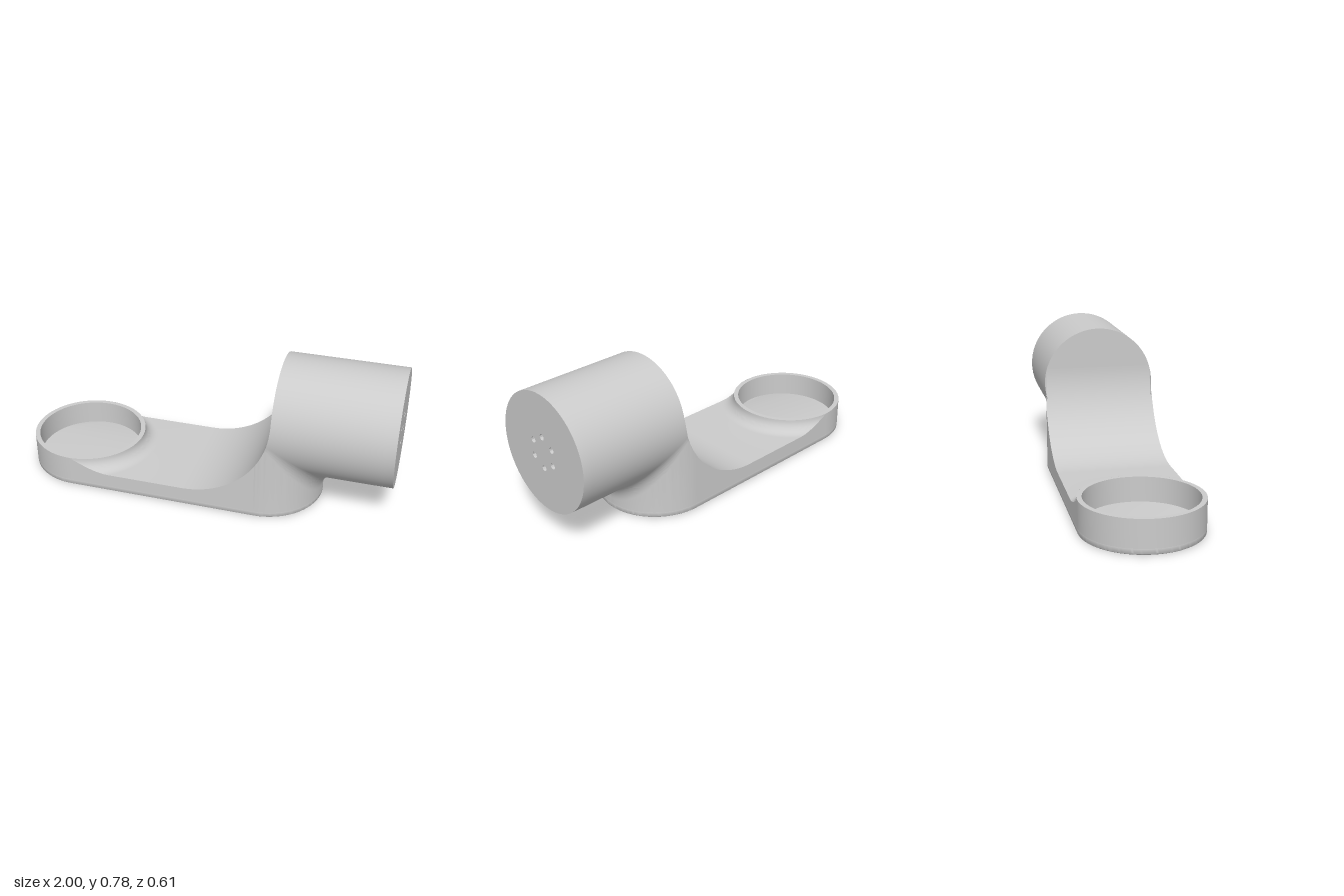
import * as THREE from 'three';
import { toCreasedNormals } from 'three/addons/utils/BufferGeometryUtils.js';

const R = 0.305;              // radius of slab ends and barrel
const CUP_X = -0.695, END_X = 0.317, AXIS_Y = 0.475;
const BASE = 0.03;            // where the walls rise from the plinth
const FACE_X = 0.39;          // back face of the barrel
const ARC = 0.46, ARC_X = -0.07, ARC_Y = 0.56; // concave sweep up to the barrel
const HALF = Math.PI / 2;

const material = new THREE.MeshStandardMaterial({ color: 0xcccccc, side: THREE.DoubleSide });

// Grid surface facing along du x dv
function grid(nu, nv, point) {
  const pos = [], idx = [];
  for (let i = 0; i <= nu; i++) for (let j = 0; j <= nv; j++) pos.push(...point(i, j));
  for (let i = 0; i < nu; i++) for (let j = 0; j < nv; j++) {
    const a = i * (nv + 1) + j, b = a + nv + 1;
    idx.push(a, b, a + 1, b, b + 1, a + 1);
  }
  const g = new THREE.BufferGeometry();
  g.setAttribute('position', new THREE.Float32BufferAttribute(pos, 3));
  g.setIndex(idx);
  return g;
}

// Height and half width of the concave sweep at x
const sweepY = x => x >= FACE_X ? Infinity
  : ARC_Y - Math.sqrt(ARC * ARC - Math.max(0, x - ARC_X) ** 2);
function halfWidth(x, y) {
  if (x <= END_X) return R;
  const w = Math.sqrt(R * R - (x - END_X) ** 2);
  return y > 0.4 ? Math.min(w, Math.sqrt(R * R - (y - AXIS_Y) ** 2)) : w;
}

// Top of the arm: fillet around the cup, flat, then the concave sweep
const NF = 10, NA = 40;
function topPoint(phi, k) {
  const z = R * Math.sin(phi);
  if (k <= NF) {
    const a = HALF * k / NF, r = 0.375 - 0.07 * Math.cos(a);
    return [CUP_X + Math.sqrt(Math.max(0, r * r - z * z)), 0.17 - 0.07 * Math.sin(a), z];
  }
  const b = HALF * (k - NF - 1) / NA;
  const x = ARC_X + ARC * Math.sin(b), y = ARC_Y - ARC * Math.cos(b);
  return [x, y, Math.sin(phi) * halfWidth(x, y)];
}

// Rounded end wall rolling through a fillet into the underside of the barrel
const FR = 0.11, NB = 14;
function endPoint(theta, j) {
  const c = Math.cos(theta), s = Math.sin(theta), d = (R + FR) * c;
  if (j === 0) return [END_X + R * c, BASE, R * s];
  const from = new THREE.Vector3(-c, 0, -s), to = new THREE.Vector3(0, c, -s);
  const w = from.angleTo(to), t = (j - 1) / NB;
  const dir = w < 1e-4 ? from : from.multiplyScalar(Math.sin((1 - t) * w) / Math.sin(w))
    .addScaledVector(to, Math.sin(t * w) / Math.sin(w));
  const x = END_X + d + FR * dir.x, y = AXIS_Y - d + FR * dir.y;
  return [x, Math.min(y, sweepY(x)), (R + FR) * s + FR * dir.z];
}

export function createModel() {
  const group = new THREE.Group();
  const add = (name, geometry, crease = 0.6) => {
    const mesh = new THREE.Mesh(toCreasedNormals(geometry, crease), material);
    mesh.name = name;
    group.add(mesh);
  };

  // Plinth with softened lower edge; its top is also the cup floor
  const r = R - 0.01;
  const stadium = new THREE.Shape();
  stadium.absarc(END_X, 0, r, -HALF, HALF, false);
  stadium.absarc(CUP_X, 0, r, HALF, 3 * HALF, false);
  stadium.closePath();
  add('plinth', new THREE.ExtrudeGeometry(stadium, {
    depth: 0.02, bevelThickness: 0.01, bevelSize: 0.01, bevelSegments: 4, curveSegments: 48,
  }).rotateX(-HALF).translate(0, 0.01, 0));

  // Thin-walled cup
  const rim = [[R, BASE], [R, 0.17], [0.28, 0.17], [0.28, BASE]].map(p => new THREE.Vector2(...p));
  add('cupRing', new THREE.LatheGeometry(rim, 96).translate(CUP_X, 0, 0));

  // Arm top, straight sides and blended end
  add('armTop', grid(64, NF + 1 + NA, (i, k) => topPoint(-HALF + Math.PI * i / 64, k)));
  const nCols = NF + 1 + NA;
  for (const s of [1, -1]) {
    add(s > 0 ? 'armSideFront' : 'armSideBack', grid(nCols, 1, (i, j) => {
      const [x, y] = topPoint(HALF, s > 0 ? i : nCols - i);
      return [Math.min(x, END_X), j ? Math.min(y, sweepY(END_X)) : BASE, s * R];
    }));
    // Small cheek joining the sweep to the barrel
    add(s > 0 ? 'cheekFront' : 'cheekBack', grid(10, 1, (i, j) => {
      const y = 0.4 + 0.16 * (s > 0 ? 10 - i : i) / 10;
      const x = ARC_X + Math.sqrt(ARC * ARC - (ARC_Y - y) ** 2);
      return [j ? FACE_X : x, y, s * Math.sqrt(R * R - (y - AXIS_Y) ** 2)];
    }).scale(1, 1, 1));
  }
  add('barrelNeck', grid(96, NB + 1, (i, j) => endPoint(HALF - Math.PI * i / 96, j)));

  // Barrel, with a drilled end plate
  const plateDepth = 0.05, length = 1 - plateDepth - FACE_X;
  add('barrel', new THREE.CylinderGeometry(R, R, length, 96)
    .rotateZ(-HALF).translate(FACE_X + length / 2, AXIS_Y, 0));
  const plate = new THREE.Shape().absarc(0, 0, R, 0, 2 * Math.PI, false);
  for (let i = 0; i < 6; i++) {
    const a = HALF + i * Math.PI / 3;
    plate.holes.push(new THREE.Path()
      .absarc(0.082 * Math.cos(a), 0.082 * Math.sin(a), 0.0155, 0, 2 * Math.PI, true));
  }
  add('drilledEndPlate', new THREE.ExtrudeGeometry(plate, {
    depth: plateDepth, bevelEnabled: false, curveSegments: 48,
  }).rotateY(HALF).translate(1 - plateDepth, AXIS_Y, 0));

  return group;
}
